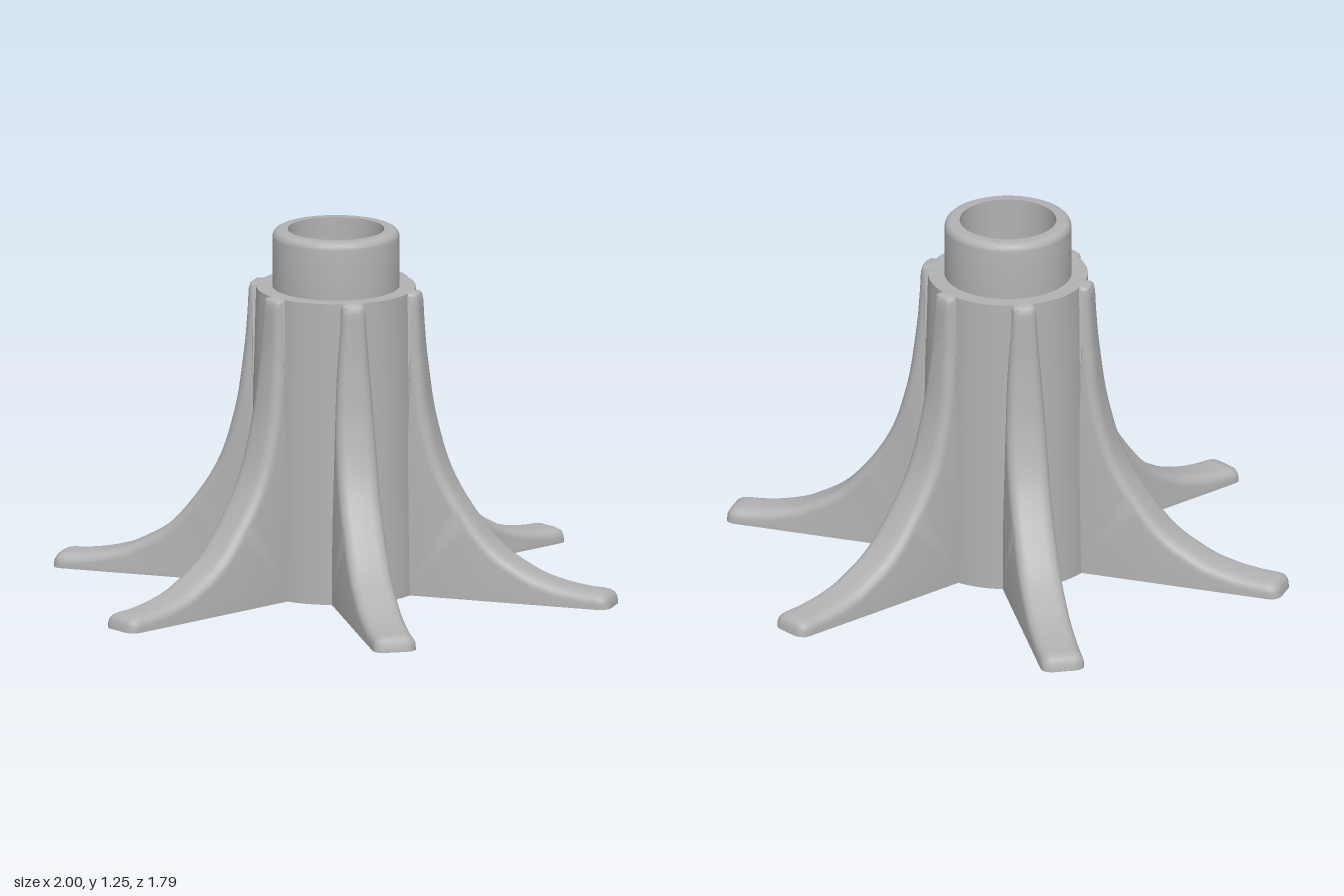
import * as THREE from 'three';
import { toCreasedNormals } from 'three/addons/utils/BufferGeometryUtils.js';

const grey = new THREE.MeshStandardMaterial({ color: 0xb2b2b2 });
grey.name = 'grey plastic';

// Hollow tapered post with a narrower collar on top
function createPost() {
  const points = [[0.25, 0], [0.3, 0], [0.273, 1.05], [0.217, 1.05]];
  for (let i = 0; i <= 5; i++) {
    const a = (i / 5) * Math.PI / 2;
    points.push([0.192 + 0.025 * Math.cos(a), 1.225 + 0.025 * Math.sin(a)]);
  }
  points.push([0.165, 1.25], [0.165, 1.0], [0.222, 1.0], [0.25, 0]);
  const lathe = new THREE.LatheGeometry(points.map(([r, y]) => new THREE.Vector2(r, y)), 72);
  const mesh = new THREE.Mesh(toCreasedNormals(lathe, 0.6), grey);
  mesh.name = 'hollowPost';
  return mesh;
}

// Flared fin: rounded sections swept along its outer edge, flat walls fanned to the post
function createFinGeometry() {
  const flare = new THREE.SplineCurve([
    [0.307, 1.02], [0.311, 0.93], [0.322, 0.8], [0.352, 0.6], [0.42, 0.4], [0.565, 0.2],
    [0.7, 0.108], [0.8, 0.072], [0.89, 0.056], [0.95, 0.052],
  ].map(([x, y]) => new THREE.Vector2(x, y))).getPoints(54);
  const edge = [
    new THREE.Vector2(0.255, 1.052), new THREE.Vector2(0.288, 1.052), new THREE.Vector2(0.3, 1.044),
    ...flare,
    new THREE.Vector2(0.972, 0.049), new THREE.Vector2(0.988, 0.04),
    new THREE.Vector2(0.997, 0.024), new THREE.Vector2(1, 0),
  ];
  const last = edge.length - 1;
  const smooth = THREE.MathUtils.smoothstep;
  const halfWidth = (y) => 0.075 - 0.006 * Math.min(y, 1) - 0.029 * Math.pow(smooth(y, 0.45, 1.25) / 0.84, 1.2);

  const sections = edge.map((p, k) => {
    const t = edge[Math.min(k + 1, last)].clone().sub(edge[Math.max(k - 1, 0)]).normalize();
    const n = k === last ? new THREE.Vector2(1, 0) : new THREE.Vector2(-t.y, t.x);
    const w = halfWidth(p.y);
    const round = Math.min(0.04, w * 0.6);
    const depth = k < 3 ? 0.012 : 0.034 - 0.014 * smooth(p.y, 0.8, 1.05);
    const half = [];
    for (let j = 0; j <= 5; j++) {
      const a = (j / 5) * Math.PI / 2;
      const d = depth * (1 - Math.sin(a));
      half.push(new THREE.Vector3(p.x - n.x * d, Math.max(0, p.y - n.y * d), w - round + round * Math.cos(a)));
    }
    const other = half.map((v) => new THREE.Vector3(v.x, v.y, -v.z)).reverse();
    return [...half, ...other];
  });

  const pos = [];
  const tri = (...corners) => corners.forEach((v) => pos.push(v.x, v.y, v.z));
  const rootA = new THREE.Vector3(0.265, 0, halfWidth(0));
  const rootB = new THREE.Vector3(0.265, 0, -halfWidth(0));
  const end = sections[0].length - 1;
  for (let k = 0; k < last; k++) {
    const s = sections[k], e = sections[k + 1];
    for (let i = 0; i < end; i++) {
      tri(s[i], e[i], s[i + 1]);
      tri(s[i + 1], e[i], e[i + 1]);
    }
    tri(rootA, e[0], s[0]);
    tri(rootB, s[end], e[end]);
  }
  // Flat underside
  const tip = sections[last];
  for (let i = 0; i < end; i++) tri(rootA, tip[i + 1], tip[i]);
  tri(rootA, rootB, tip[end]);

  const geometry = new THREE.BufferGeometry();
  geometry.setAttribute('position', new THREE.Float32BufferAttribute(pos, 3));
  return toCreasedNormals(geometry, 0.7);
}

export function createModel() {
  const model = new THREE.Group();
  model.name = 'finnedStand';
  model.add(createPost());

  // Six fins around the post, turned very slightly
  const finGeometry = createFinGeometry();
  for (let i = 0; i < 6; i++) {
    const fin = new THREE.Mesh(finGeometry, grey);
    fin.name = `fin${i + 1}`;
    fin.rotation.y = (i * Math.PI) / 3 - 0.01;
    model.add(fin);
  }
  return model;
}
